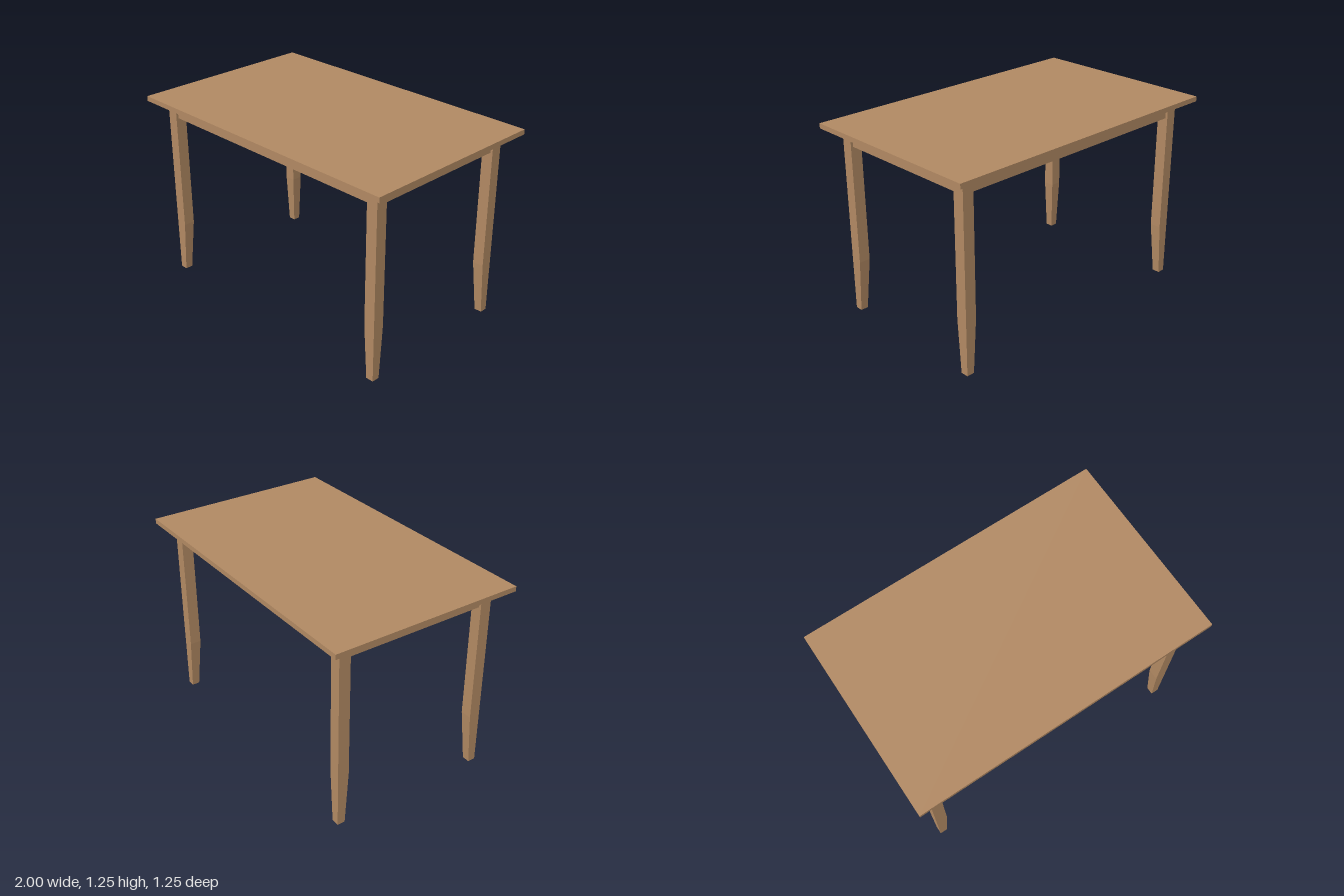
import * as THREE from 'three';

const TOP_Y = 1.25, TOP_T = 0.032;
const UNDER = TOP_Y - TOP_T;      // underside of the table top
const LEG_X = 0.903, LEG_Z = 0.533; // outer faces of the legs
const LEG_W = 0.074, FOOT_W = 0.05, TAPER_Y = 0.35;

// Square leg whose two inner faces taper towards the foot
function legGeometry(sx, sz) {
  const g = new THREE.BoxGeometry(1, 1, 1, 1, 2, 1);
  const p = g.attributes.position;
  for (let i = 0; i < p.count; i++) {
    const level = Math.round((p.getY(i) + 0.5) * 2);
    const y = [0, TAPER_Y, UNDER][level];
    const w = level === 0 ? FOOT_W : LEG_W;
    const x = sx * p.getX(i) > 0 ? LEG_X : LEG_X - w;
    const z = sz * p.getZ(i) > 0 ? LEG_Z : LEG_Z - w;
    p.setXYZ(i, sx * x, y, sz * z);
  }
  const flat = g.toNonIndexed();
  flat.computeVertexNormals();
  return flat;
}

export function createModel() {
  const wood = new THREE.MeshStandardMaterial({ color: 0xb08862 });
  wood.name = 'wood';
  const table = new THREE.Group();
  table.name = 'table';

  function add(name, geometry, x = 0, y = 0, z = 0) {
    const mesh = new THREE.Mesh(geometry, wood);
    mesh.name = name;
    mesh.position.set(x, y, z);
    table.add(mesh);
  }

  // Table top
  add('tableTop', new THREE.BoxGeometry(1.996, TOP_T, 1.25), 0, TOP_Y - TOP_T / 2, 0);

  // Legs
  for (const sx of [-1, 1]) {
    for (const sz of [-1, 1]) {
      add((sz > 0 ? 'front' : 'back') + (sx > 0 ? 'Left' : 'Right') + 'Leg', legGeometry(sx, sz));
    }
  }

  // Aprons, set slightly back from the outer faces of the legs
  const h = 0.1, t = 0.03, inset = 0.015;
  const y = UNDER - h / 2;
  const longGeo = new THREE.BoxGeometry(2 * (LEG_X - LEG_W), h, t);
  const shortGeo = new THREE.BoxGeometry(t, h, 2 * (LEG_Z - LEG_W));
  for (const s of [-1, 1]) {
    add(s > 0 ? 'frontApron' : 'backApron', longGeo, 0, y, s * (LEG_Z - inset - t / 2));
    add(s > 0 ? 'leftApron' : 'rightApron', shortGeo, s * (LEG_X - inset - t / 2), y, 0);
  }

  // The table stands very slightly turned
  table.rotation.y = -0.0025;
  const model = new THREE.Group();
  model.name = 'model';
  model.add(table);
  return model;
}
